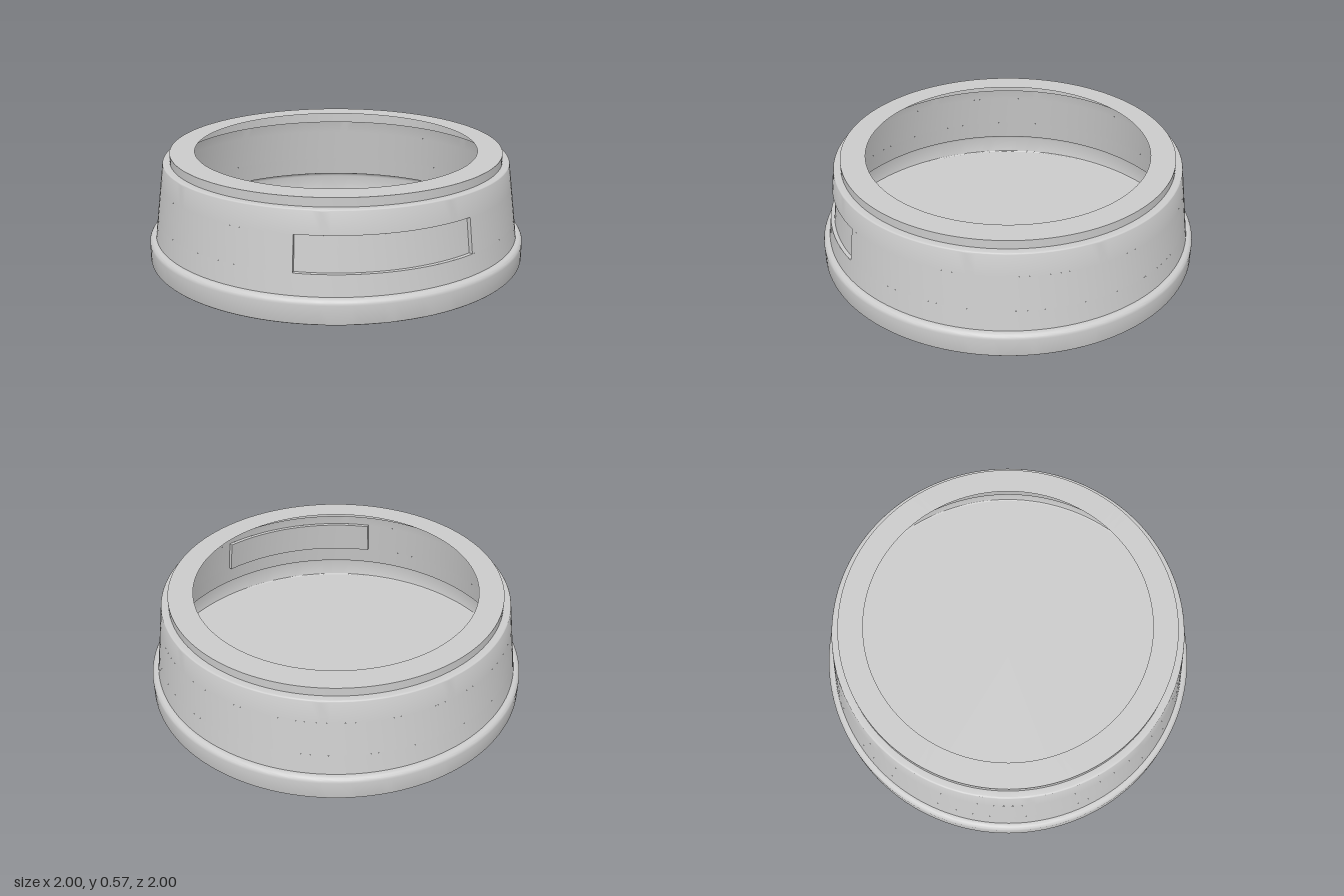
import * as THREE from 'three';
import { mergeGeometries, toCreasedNormals } from 'three/addons/utils/BufferGeometryUtils.js';

const TAU = Math.PI * 2;
const SEGMENTS = 128;

// Thin shell turned around y from [radius, height] points; angle 0 is the front.
function turned(points, start = 0, length = TAU) {
  const profile = points.map(([r, y]) => new THREE.Vector2(r, y));
  const steps = Math.max(8, Math.round((SEGMENTS * length) / TAU));
  return toCreasedNormals(new THREE.LatheGeometry(profile, steps, start, length), 0.5);
}

// Quarter-round corner points, centred on (cx, cy), between two angles.
function corner(cx, cy, radius, from, to, steps = 6) {
  return Array.from({ length: steps + 1 }, (_, i) => {
    const a = from + ((to - from) * i) / steps;
    return [cx + radius * Math.cos(a), cy + radius * Math.sin(a)];
  });
}

export function createModel() {
  const group = new THREE.Group();
  const material = new THREE.MeshStandardMaterial({ color: 0xcccccc, side: THREE.DoubleSide });
  const add = (name, geometry) => {
    const mesh = new THREE.Mesh(geometry, material);
    mesh.name = name;
    group.add(mesh);
  };

  // Flat floor, seen both inside and underneath
  const floor = new THREE.CircleGeometry(0.992, SEGMENTS);
  floor.rotateX(Math.PI / 2);
  add('floor', floor);

  // Foot ring with rounded edges
  add('footRing', turned([
    ...corner(0.992, 0.008, 0.008, -Math.PI / 2, 0, 3),
    ...corner(0.972, 0.097, 0.028, 0, Math.PI / 2),
    [0.966, 0.125],
  ]));

  // Tapered wall, left open where the front panel sits
  const wallRadius = (y) => 0.966 - ((y - 0.125) * 0.052) / 0.39;
  const low = 0.23, high = 0.408, half = 0.478, depth = 0.02;
  const wallPoint = (y, inset = 0) => [wallRadius(y) - inset, y];
  add('wall', mergeGeometries([
    turned([wallPoint(0.125), wallPoint(low)]),
    turned([wallPoint(low), wallPoint(high)], half, TAU - 2 * half),
    turned([wallPoint(high), wallPoint(0.515), ...corner(0.904, 0.515, 0.01, 0, Math.PI / 2, 4), [0.875, 0.525]]),
  ]));

  // Sunken front panel with its upper and lower ledges
  add('frontPanel', turned([
    wallPoint(low), wallPoint(low, depth), wallPoint(high, depth), wallPoint(high),
  ], -half, 2 * half));

  // Short end faces of the panel recess
  for (const side of [-1, 1]) {
    const outline = [wallPoint(low), wallPoint(high), wallPoint(high, depth), wallPoint(low, depth)];
    const end = new THREE.ShapeGeometry(new THREE.Shape(outline.map(([r, y]) => new THREE.Vector2(r, y))));
    end.rotateY(side * half - Math.PI / 2);
    add(side > 0 ? 'panelEndLeft' : 'panelEndRight', end);
  }

  // Upright collar and flat rim around the opening
  add('rim', turned([[0.875, 0.485], [0.875, 0.57], [0.745, 0.57]]));

  return group;
}
